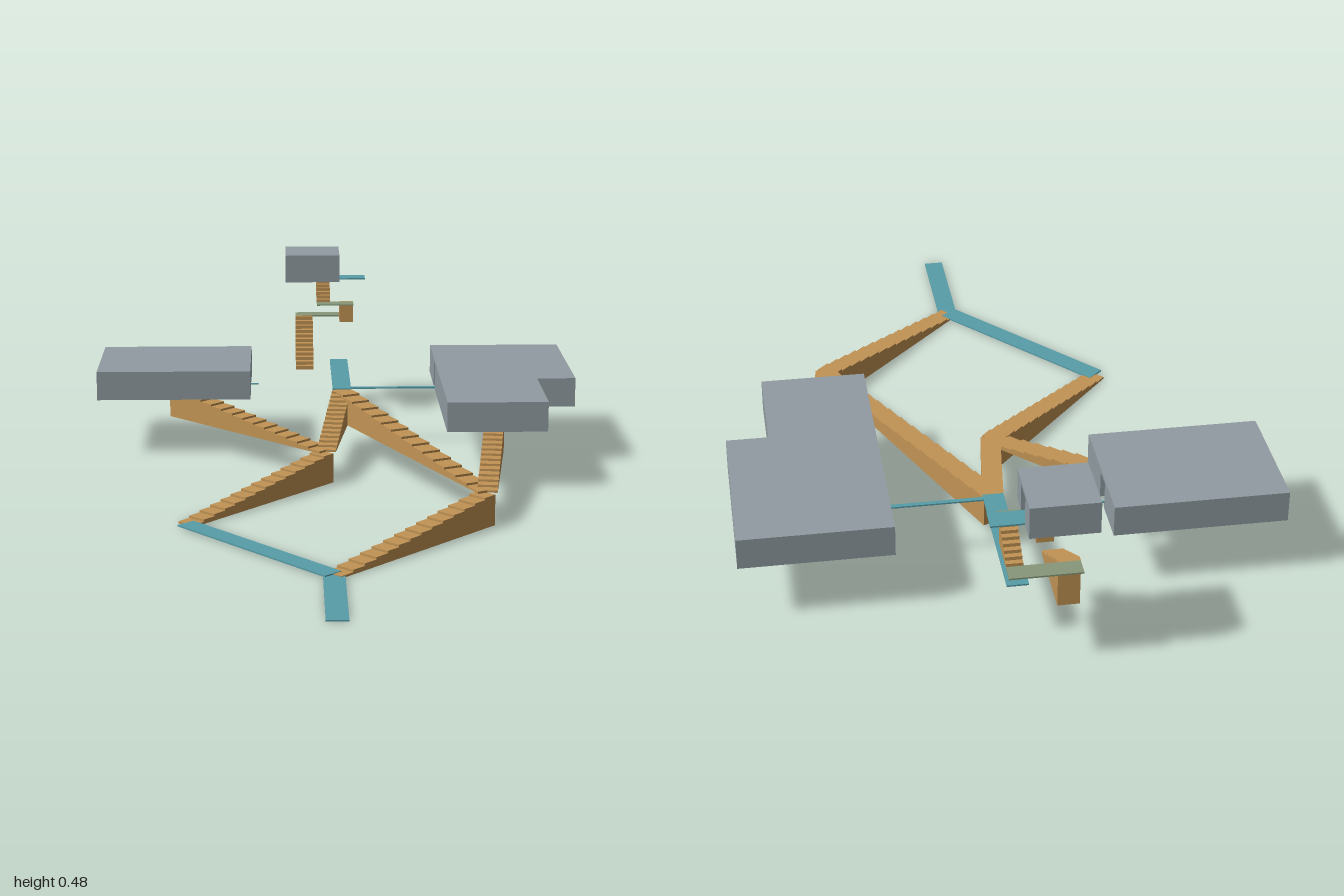
import * as THREE from 'three';

export function createModel() {
  const model = new THREE.Group();
  const material = (name, color) => {
    const m = new THREE.MeshStandardMaterial({ color });
    m.name = name;
    return m;
  };
  const timber = material('tan steps', 0xc19354);
  const teal = material('teal path', 0x579da8);
  const olive = material('olive landing', 0x87987a);
  const grey = material('grey block', 0x909ba1);

  const add = (name, geometry, mat) => {
    const mesh = new THREE.Mesh(geometry, mat);
    mesh.name = name;
    model.add(mesh);
    return mesh;
  };

  // Flat-bottomed staircase climbing from one plan point [x, z] to another
  const stairs = (name, from, to, y, rise, width, steps) => {
    const dx = to[0] - from[0], dz = to[1] - from[1];
    const run = Math.hypot(dx, dz);
    const shape = new THREE.Shape();
    shape.moveTo(0, 0);
    for (let i = 0; i < steps; i++) {
      const h = (rise * (i + 1)) / steps;
      shape.lineTo((run * i) / steps, h);
      shape.lineTo((run * (i + 1)) / steps, h);
    }
    shape.lineTo(run, 0);
    const g = new THREE.ExtrudeGeometry(shape, { depth: width, bevelEnabled: false });
    g.translate(0, 0, -width / 2);
    const mesh = add(name, g, timber);
    mesh.position.set(from[0], y, from[1]);
    mesh.rotation.y = Math.atan2(-dz, dx);
  };

  // Thin walkway between two plan points
  const path = (name, from, to, y, width, mat = teal, thick = 0.004) => {
    const dx = to[0] - from[0], dz = to[1] - from[1];
    const mesh = add(name, new THREE.BoxGeometry(Math.hypot(dx, dz), thick, width), mat);
    mesh.position.set((from[0] + to[0]) / 2, y + thick / 2, (from[1] + to[1]) / 2);
    mesh.rotation.y = Math.atan2(-dz, dx);
  };

  // Slab extruded upwards from a plan outline of [x, z] points
  const slab = (name, points, y, height) => {
    const shape = new THREE.Shape(points.map(([x, z]) => new THREE.Vector2(x, -z)));
    const g = new THREE.ExtrudeGeometry(shape, { depth: height, bevelEnabled: false });
    g.rotateX(-Math.PI / 2);
    add(name, g, grey).position.y = y;
  };

  // Block with a passage cut in from its doorway and a roof over it
  const block = (name, outline, passage, y) => {
    slab(name + 'Walls', [...outline, ...passage], y, 0.07);
    slab(name + 'Roof', outline, y + 0.07, 0.01);
  };

  // Ground paths
  path('entrancePath', [-0.028, 1], [-0.028, 0.68], 0, 0.052);
  path('diagonalPath', [-0.03, 0.69], [-0.39, 0.285], 0.003, 0.052);

  // Lower flights
  const leftTurn = [-0.03, -0.11], rightTurn = [0.365, 0.285], top = [0.022, -0.48];
  stairs('lowerRightFlight', [-0.03, 0.69], rightTurn, 0, 0.08, 0.052, 14);
  stairs('lowerLeftFlight', [-0.39, 0.285], leftTurn, 0, 0.08, 0.052, 14);

  // Upper flights
  stairs('upperLeftFlight', leftTurn, [-0.447, -0.522], 0.08, 0.08, 0.052, 14);
  stairs('upperMiddleFlight', leftTurn, top, 0.08, 0.08, 0.052, 14);
  stairs('upperLongFlight', rightTurn, top, 0.08, 0.08, 0.052, 14);
  stairs('upperRightFlight', rightTurn, [0.42, -0.115], 0.08, 0.08, 0.052, 14);

  // Upper paths
  path('upperPath', [0.022, -0.48], [0.022, -0.85], 0.16, 0.052);
  path('thinBridge', [0.03, -0.495], [0.44, -0.495], 0.16, 0.012);
  path('doorStub', [-0.28, -0.55], [-0.215, -0.55], 0.16, 0.005);

  // Zigzag tower of short flights and landings
  stairs('towerLowerFlight', [-0.08, -0.735], [-0.08, -0.935], 0.16, 0.12, 0.052, 12);
  path('lowerLanding', [-0.105, -0.957], [0.065, -0.957], 0.277, 0.045, olive);
  stairs('towerMiddleFlight', [0.045, -0.935], [0.045, -0.84], 0.28, 0.06, 0.04, 7);
  path('middleLanding', [-0.043, -0.822], [0.065, -0.822], 0.337, 0.04, olive);
  stairs('towerUpperFlight', [-0.023, -0.84], [-0.023, -0.935], 0.34, 0.06, 0.04, 7);
  path('topLanding', [-0.043, -0.918], [0.102, -0.918], 0.398, 0.052);

  // Blocks
  block('leftBlock',
    [[-0.235, -0.69], [-0.66, -0.69], [-0.66, -0.37], [-0.235, -0.37]],
    [[-0.235, -0.525], [-0.29, -0.525], [-0.29, -0.4], [-0.48, -0.4], [-0.48, -0.575], [-0.235, -0.575]],
    0.161);
  block('rightBlock',
    [[0.285, 0], [0.55, 0], [0.55, -0.265], [0.655, -0.265], [0.655, -0.69], [0.285, -0.69]],
    [[0.285, -0.52], [0.45, -0.52], [0.45, -0.03], [0.34, -0.03], [0.34, -0.47], [0.285, -0.47]],
    0.161);
  block('towerBlock',
    [[0.025, -1], [-0.135, -1], [-0.135, -0.842], [0.025, -0.842]],
    [[0.025, -0.89], [-0.05, -0.89], [-0.05, -0.945], [0.025, -0.945]],
    0.4);

  return model;
}
